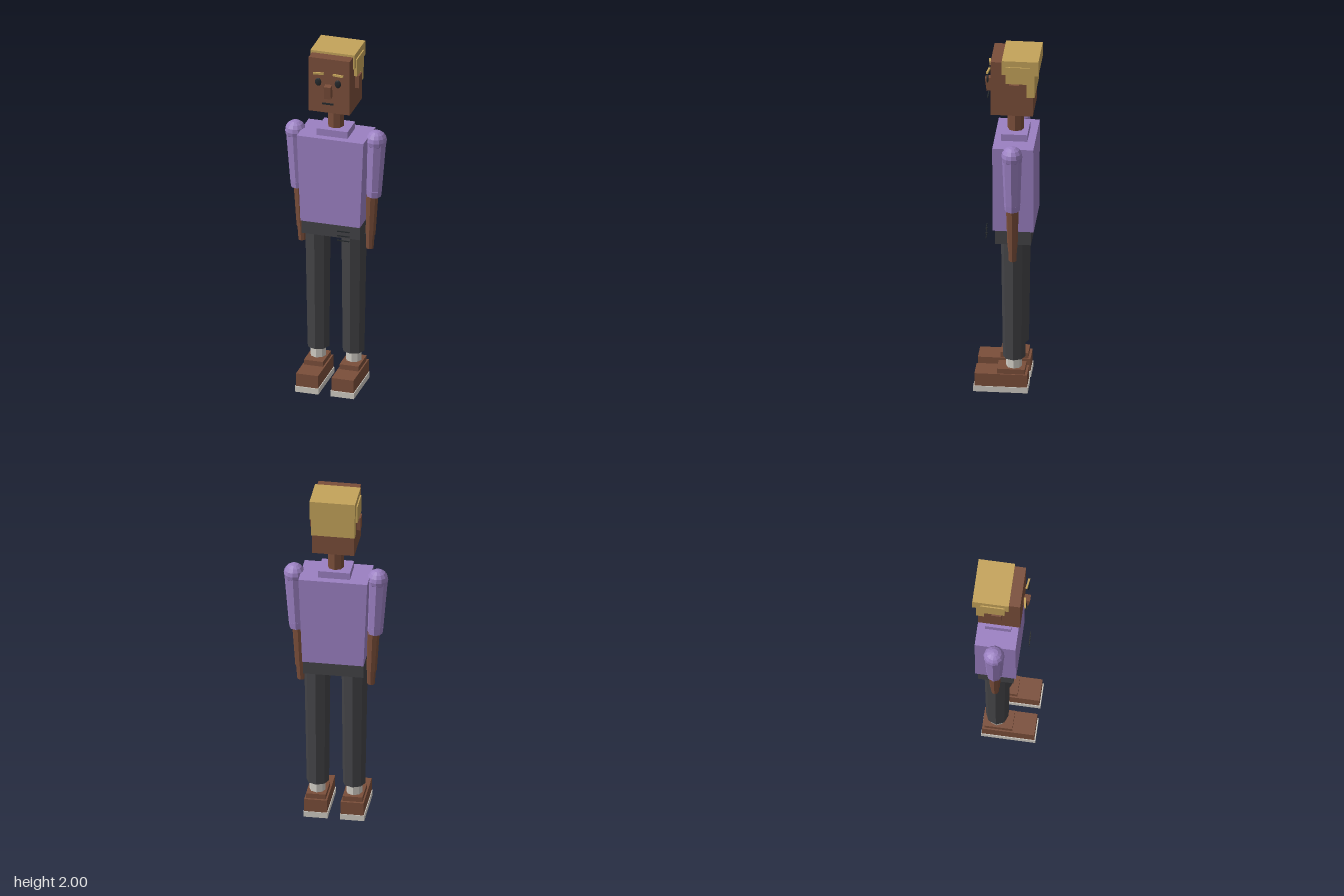
import * as THREE from 'three';

const mat = (name, color) => {
  const m = new THREE.MeshStandardMaterial({ color });
  m.name = name;
  m.flatShading = true;
  return m;
};

export function createModel() {
  const skin = mat('brown skin', 0x7a4e3a);
  const shirt = mat('purple shirt', 0x9b80c2);
  const trousers = mat('charcoal trousers', 0x434346);
  const hair = mat('blond hair', 0xc4a35a);
  const white = mat('off white', 0xd0ccc4);
  const dark = mat('dark detail', 0x25292c);

  const model = new THREE.Group();
  model.name = 'figure';
  const Z = -0.042; // body axis

  const add = (name, geo, material, parent = model) => {
    const mesh = new THREE.Mesh(geo, material);
    mesh.name = name;
    parent.add(mesh);
    return mesh;
  };
  // Box given by its limits on each axis
  const box = (name, material, x0, x1, y0, y1, z0, z1, parent) => {
    const mesh = add(name, new THREE.BoxGeometry(x1 - x0, y1 - y0, z1 - z0), material, parent);
    mesh.position.set((x0 + x1) / 2, (y0 + y1) / 2, (z0 + z1) / 2);
    return mesh;
  };
  // Tapered eight-sided limb from a top point to a bottom point (x, y)
  const limb = (name, material, xt, yt, rt, xb, yb, rb, parent) => {
    const dx = xt - xb, dy = yt - yb;
    const mesh = add(name, new THREE.CylinderGeometry(rt, rb, Math.hypot(dx, dy), 8), material, parent);
    mesh.position.set((xt + xb) / 2, (yt + yb) / 2, Z);
    mesh.rotation.z = -Math.atan2(dx, dy);
    return mesh;
  };

  // Torso, narrowing towards the waist
  const torso = box('torso', shirt, -0.19, 0.19, 0.985, 1.495, -0.155, 0.07);
  const p = torso.geometry.attributes.position;
  for (let i = 0; i < p.count; i++) if (p.getY(i) < 0) p.setX(i, p.getX(i) * 0.89);
  torso.geometry.computeVertexNormals();
  box('collar', shirt, -0.088, 0.088, 1.495, 1.535, -0.113, 0.031);
  box('hips', trousers, -0.168, 0.168, 0.905, 0.985, -0.14, 0.056);
  [0.915, 0.943, 0.97].forEach((y) =>
    box('pocketLine', dark, 0.053, 0.122, y - 0.003, y + 0.003, 0.109, 0.113));

  // Head and hair
  limb('neck', skin, 0, 1.67, 0.045, 0, 1.53, 0.045);
  box('head', skin, -0.117, 0.117, 1.665, 1.987, -0.146, 0.086);
  box('hairTop', hair, -0.126, 0.126, 1.915, 2, -0.177, 0.024);
  box('hairBack', hair, -0.121, 0.121, 1.78, 1.925, -0.156, -0.112);
  const nose = box('nose', skin, -0.019, 0.019, 1.763, 1.838, 0.09, 0.122);
  nose.rotation.x = 0.13;
  box('mouth', dark, -0.032, 0.032, 1.725, 1.734, 0.107, 0.113);

  // Paired parts
  for (const s of [1, -1]) {
    const side = new THREE.Group();
    side.name = s > 0 ? 'leftSide' : 'rightSide';
    model.add(side);
    const pair = (name, m, xa, xb, ...rest) =>
      box(name, m, Math.min(s * xa, s * xb), Math.max(s * xa, s * xb), ...rest, side);

    // Face
    pair('sideHair', hair, 0.11, 0.133, 1.865, 1.965, -0.132, 0.002);
    pair('ear', skin, 0.11, 0.14, 1.786, 1.86, -0.071, -0.016);
    pair('eyebrow', hair, 0.026, 0.086, 1.898, 1.909, 0.099, 0.109).rotation.y = -0.15 * s;
    const eye = add('eye', new THREE.SphereGeometry(1, 12, 8), dark, side);
    eye.scale.set(0.018, 0.024, 0.006);
    eye.position.set(s * 0.056, 1.855, 0.108);

    // Arm
    const shoulder = add('shoulder', new THREE.SphereGeometry(0.058, 12, 8), shirt, side);
    shoulder.position.set(s * 0.231, 1.474, Z);
    limb('sleeve', shirt, s * 0.231, 1.47, 0.055, s * 0.217, 1.17, 0.044, side);
    limb('cuff', shirt, s * 0.217, 1.178, 0.045, s * 0.215, 1.14, 0.042, side);
    limb('forearm', skin, s * 0.207, 1.15, 0.035, s * 0.197, 0.905, 0.028, side);
    limb('hand', skin, s * 0.196, 0.91, 0.025, s * 0.193, 0.82, 0.021, side);

    // Leg and shoe
    limb('leg', trousers, s * 0.103, 0.907, 0.072, s * 0.1, 0.195, 0.062, side);
    limb('sock', white, s * 0.101, 0.21, 0.044, s * 0.101, 0.13, 0.044, side);
    pair('shoeCollar', skin, 0.047, 0.156, 0.105, 0.137, -0.105, 0.048);
    pair('shoe', skin, 0.038, 0.164, 0.033, 0.108, -0.118, 0.17);
    pair('sole', white, 0.034, 0.168, 0, 0.033, -0.122, 0.176);
  }
  return model;
}
